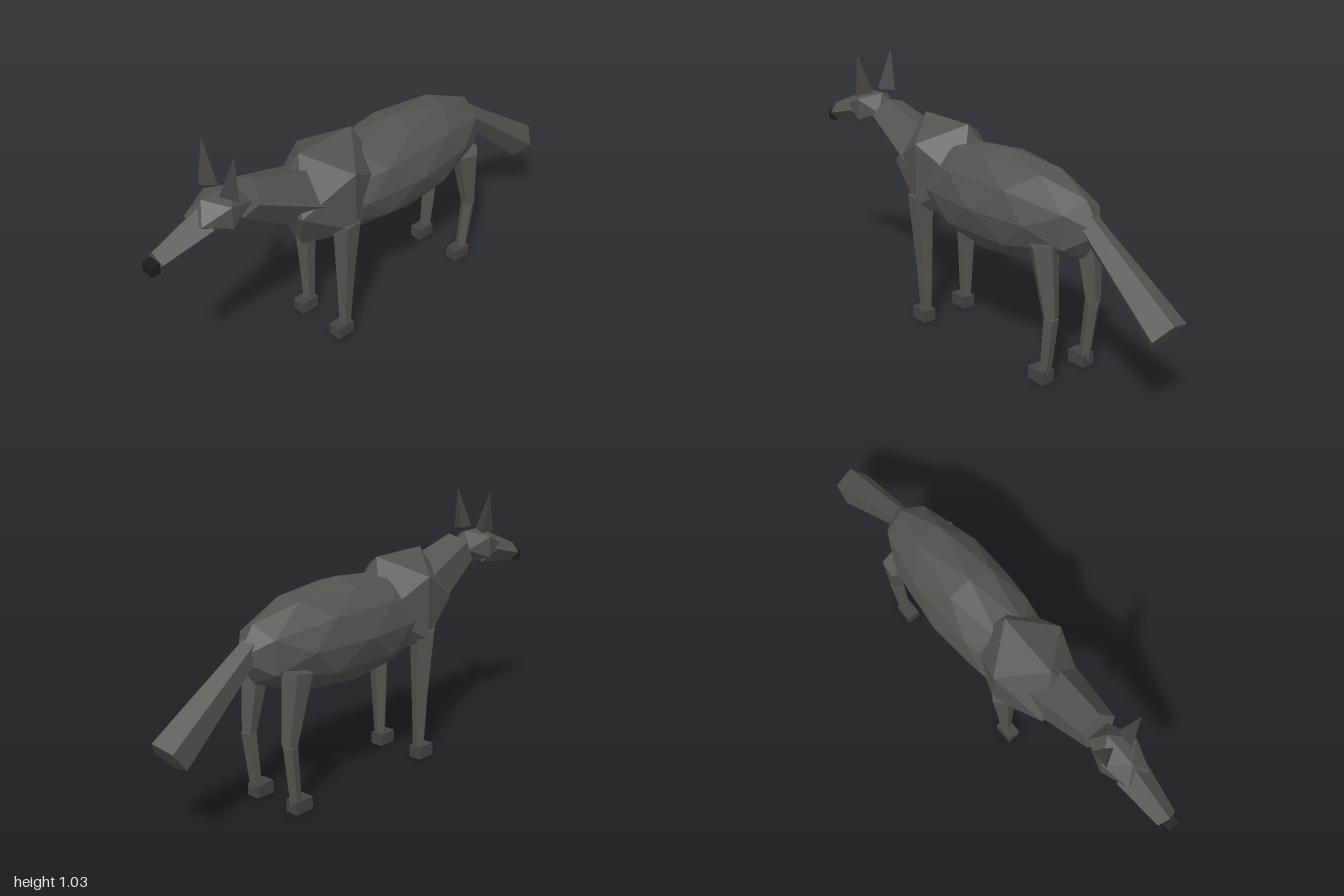
import * as THREE from 'three';

const mat = (color) => new THREE.MeshStandardMaterial({ color, flatShading: true });
const furMat = mat(0x55534d);
const darkMat = mat(0x444341);
const noseMat = mat(0x1c1c1c);

export function createModel() {
  const group = new THREE.Group();
  const midX = -0.005; // symmetry plane of everything but the barrel

  const add = (name, geometry, material = furMat) => {
    const mesh = new THREE.Mesh(geometry, material);
    mesh.name = name;
    group.add(mesh);
    return mesh;
  };

  // Faceted ball; the quarter turn puts a ridge edge along the spine
  const ball = (name, pos, radii, detail, turn) => {
    const g = new THREE.IcosahedronGeometry(1, detail);
    if (turn) g.rotateY(Math.PI / 2);
    g.scale(...radii);
    g.translate(...pos);
    return add(name, g);
  };

  // Tapered prism from a to b, with one corner pointing to +x
  const limb = (name, a, b, ra, rb, sides = 5, material = furMat) => {
    const p = new THREE.Vector3(...a);
    const q = new THREE.Vector3(...b);
    const dir = q.clone().sub(p);
    const g = new THREE.CylinderGeometry(rb, ra, dir.length(), sides);
    g.rotateY(Math.PI / 2);
    const mesh = add(name, g, material);
    mesh.position.copy(p).add(q).multiplyScalar(0.5);
    mesh.quaternion.setFromUnitVectors(new THREE.Vector3(0, 1, 0), dir.normalize());
    return mesh;
  };

  const box = (name, pos, size, material) =>
    add(name, new THREE.BoxGeometry(...size), material).position.set(...pos);

  // Trunk
  ball('body', [0, 0.598, -0.14], [0.18, 0.207, 0.5], 1, false);
  ball('chest', [midX, 0.64, 0.2], [0.186, 0.238, 0.247], 0, true);
  limb('neck', [0, 0.64, 0.26], [0, 0.79, 0.585], 0.132, 0.077);
  limb('tail', [0, 0.629, -0.572], [0, 0.33, -0.953], 0.042, 0.078);

  // Head
  ball('head', [midX, 0.79, 0.695], [0.092, 0.083, 0.128], 0, true);
  limb('muzzle', [midX, 0.77, 0.765], [midX, 0.717, 0.963], 0.066, 0.04, 4);
  box('nose', [midX, 0.7, 0.982], [0.05, 0.04, 0.036], noseMat);

  // Paired parts
  for (const [side, s] of [['left', 1], ['right', -1]]) {
    const x = (d) => midX + s * d;

    limb(side + 'Ear', [x(0.0565), 0.862, 0.677], [x(0.086), 1.032, 0.676], 0.042, 0, 3, darkMat);

    limb(side + 'FrontUpperLeg', [x(0.12), 0.55, 0.215], [x(0.11), 0.27, 0.215], 0.054, 0.035);
    limb(side + 'FrontLowerLeg', [x(0.11), 0.27, 0.215], [x(0.105), 0.03, 0.215], 0.035, 0.023);
    box(side + 'FrontPaw', [x(0.105), 0.025, 0.232], [0.055, 0.05, 0.08], darkMat);

    limb(side + 'HindUpperLeg', [x(0.11), 0.54, -0.465], [x(0.108), 0.268, -0.507], 0.058, 0.03);
    limb(side + 'HindLowerLeg', [x(0.108), 0.268, -0.507], [x(0.105), 0.03, -0.48], 0.03, 0.023);
    box(side + 'HindPaw', [x(0.105), 0.025, -0.46], [0.055, 0.05, 0.08], darkMat);
  }

  return group;
}
